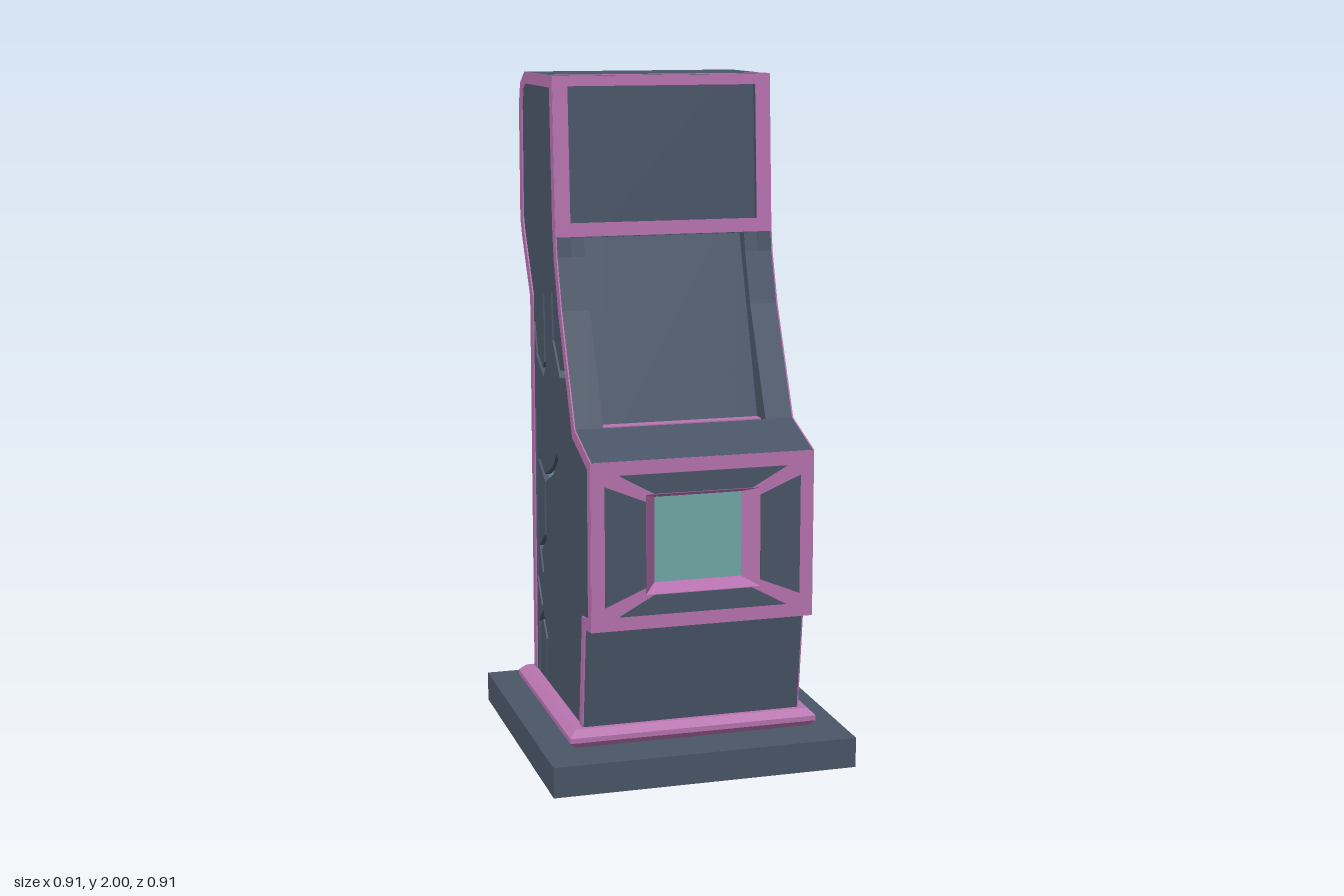
import * as THREE from 'three';

const mat = (color) => new THREE.MeshStandardMaterial({ color, flatShading: true, side: THREE.DoubleSide });
const slate = mat(0x4a5568), pink = mat(0xb873b0), teal = mat(0x70aaa8), red = mat(0x742743), dusk = mat(0x3a4058);

// Profile points are [z, y]
const lowFront = [[0.29, 0.1], [0.33, 0.45], [0.405, 0.46]];
const deskTop = [[0.405, 0.95], [0.225, 1.01]];
const cheekFront = [[0.075, 1.33], [0.025, 1.48], [0.012, 1.56]];
const headFront = [[0.012, 1.56], [-0.015, 2]];
const headBack = [[-0.37, 2], [-0.43, 1.965], [-0.45, 1.9], [-0.45, 1.55], [-0.43, 1.5], [-0.325, 1.32]];
const outline = [...lowFront, ...deskTop, ...cheekFront, [-0.015, 2], ...headBack, [-0.325, 0.1]];

// Shift a polyline sideways (to its left) with mitred corners
function offset(pts, d, closed) {
  const n = pts.length;
  const normal = (a, b) => {
    const dx = b[0] - a[0], dy = b[1] - a[1], l = Math.hypot(dx, dy);
    return [-dy / l, dx / l];
  };
  return pts.map((p, i) => {
    const prev = closed || i > 0 ? pts[(i + n - 1) % n] : null;
    const next = closed || i < n - 1 ? pts[(i + 1) % n] : null;
    const a = prev ? normal(prev, p) : normal(p, next);
    const b = next ? normal(p, next) : a;
    const k = d / (1 + a[0] * b[0] + a[1] * b[1]);
    return [p[0] + (a[0] + b[0]) * k, p[1] + (a[1] + b[1]) * k];
  });
}

const ribbon = (pts, w = 0.022) => [...offset(pts, w / 2), ...offset(pts, -w / 2).reverse()];

const rect = (x0, y0, x1, y1) => [[x0, y0], [x1, y0], [x1, y1], [x0, y1]];

function shapeOf(pts, holes = []) {
  const v = (list) => list.map(([a, b]) => new THREE.Vector2(a, b));
  const shape = new THREE.Shape(v(pts));
  holes.forEach((h) => shape.holes.push(new THREE.Path(v(h))));
  return shape;
}

export function createModel() {
  const model = new THREE.Group();

  const add = (name, geometry, material, x = 0, y = 0, z = 0) => {
    const mesh = new THREE.Mesh(geometry, material);
    mesh.name = name;
    mesh.position.set(x, y, z);
    model.add(mesh);
    return mesh;
  };
  const box = (name, w, h, d, material, x, y, z) => add(name, new THREE.BoxGeometry(w, h, d), material, x, y, z);
  // Profile in z/y stretched from x0 to x1
  const slab = (name, pts, x0, x1, material, holes) => {
    const g = new THREE.ExtrudeGeometry(shapeOf(pts, holes), { depth: x1 - x0, bevelEnabled: false });
    return add(name, g.rotateY(-Math.PI / 2), material, x1);
  };
  const mirrored = (name, pts, x0, x1, material, holes) => {
    slab(name + 'Left', pts, x0, x1, material, holes);
    slab(name + 'Right', pts, -x1, -x0, material, holes);
  };
  // Plate in x/y with its back at z
  const plate = (name, pts, z, depth, material, holes) =>
    add(name, new THREE.ExtrudeGeometry(shapeOf(pts, holes), { depth, bevelEnabled: false }), material, 0, 0, z);

  // Floor slab and bevelled plinth
  box('base', 0.91, 0.09, 0.91, slate, 0, 0.045, 0);
  const plinth = new THREE.ExtrudeGeometry(shapeOf(rect(-0.355, -0.31, 0.355, 0.335)), {
    depth: 0.015, bevelSize: 0.02, bevelThickness: 0.02, bevelSegments: 1,
  });
  add('plinth', plinth.rotateX(-Math.PI / 2), pink, 0, 0.11, 0);

  // Cabinet core: slices across x, with rear bays, sunken sign and screen
  const headInset = [[0.012, 1.535], [0.011, 1.575], [-0.009, 1.575], [-0.033, 1.97], [-0.013, 1.97], [-0.015, 2]];
  const rear = [...headBack, [-0.325, 1.29], [-0.26, 1.29], [-0.26, 1.06], [-0.325, 1.06],
    [-0.325, 0.99], [-0.26, 0.99], [-0.26, 0.17], [-0.325, 0.17], [-0.325, 0.1]];
  const screenFront = [[0.185, 1], [0.15, 1], [-0.03, 1.53]];
  const windowNotch = [[0.405, 0.56], [0.35, 0.56], [0.35, 0.85], [0.405, 0.85]];
  const cheek = [...lowFront, ...deskTop, ...cheekFront.slice(0, 2), ...headInset, ...rear];
  const screenCore = [...lowFront, ...deskTop, ...screenFront, ...headInset, ...rear];
  const windowCore = [...lowFront, ...windowNotch, ...deskTop, ...screenFront, ...headInset, ...rear];
  mirrored('cheek', cheek, 0.245, 0.285, slate);
  mirrored('innerBody', screenCore, 0.17, 0.245, slate);
  slab('centreBody', windowCore, -0.17, 0.17, slate);
  box('screenLedge', 0.49, 0.006, 0.036, pink, 0, 1.002, 0.167);

  // Side panels with cut cracks; "lit" is how many points have a glowing floor
  const cracks = [
    { path: [[0.11, 1.15], [0.04, 1.14], [-0.04, 1.23], [-0.055, 1.37]], lit: 4 },
    { path: [[-0.16, 1.35], [-0.15, 1.14], [-0.175, 1.11], [-0.25, 1.15], [-0.285, 1.25]], lit: 4 },
    { path: [[0, 0.885], [-0.06, 0.83], [-0.165, 0.785], [-0.255, 0.835]], lit: 4 },
    { path: [[-0.165, 0.766], [-0.165, 0.6], [-0.235, 0.55], [-0.2, 0.48]], lit: 4 },
    { path: [[-0.28, 0.98], [-0.275, 0.45], [-0.22, 0.37]], lit: 0 },
    { path: [[-0.175, 0.147], [-0.155, 0.28], [-0.21, 0.342], [-0.26, 0.3], [-0.26, 0.147]], lit: 5 },
  ];
  mirrored('sidePanel', outline, 0.285, 0.327, slate, cracks.map((c) => ribbon(c.path)));
  mirrored('sideTrim', outline, 0.327, 0.331, pink, [offset(outline, 0.035, true)]);
  cracks.filter((c) => c.lit).forEach((c, i) =>
    mirrored('crackGlow' + (i + 1), ribbon(c.path.slice(0, c.lit)), 0.287, 0.31, teal));

  // Sign frame on the head, tilted with its front, and the strip above
  const signFrame = plate('signFrame', rect(-0.33, 0, 0.33, 0.463), 0.01, 0.006, pink,
    [rect(-0.285, 0.04, 0.285, 0.433)]);
  signFrame.position.y = 1.537;
  signFrame.rotation.x = -Math.atan2(0.027, 0.44);
  box('topTrim', 0.66, 0.004, 0.045, pink, 0, 1.999, -0.038);

  // Front box: frame, corner ribs and four dark panels around the window
  plate('frontFrame', rect(-0.33, 0.46, 0.33, 0.95), 0.403, 0.004, pink, [rect(-0.17, 0.56, 0.17, 0.85)]);
  for (const s of [-1, 1]) {
    plate('sideInset', [[0.29 * s, 0.53], [0.17 * s, 0.58], [0.17 * s, 0.83], [0.29 * s, 0.88]], 0.405, 0.004, slate);
    const y = (v) => 0.705 + s * v;
    plate('edgeInset', [[-0.25, y(0.205)], [0.25, y(0.205)], [0.145, y(0.147)], [-0.145, y(0.147)]], 0.405, 0.004, slate);
  }

  // Sloped window reveal and glowing pane
  const outer = rect(-0.17, 0.56, 0.17, 0.85), inner = rect(-0.13, 0.58, 0.13, 0.83);
  const verts = [], index = [];
  for (let i = 0; i < 4; i++) {
    verts.push(...outer[i], 0.407, ...inner[i], 0.353);
    const a = i * 2, b = ((i + 1) % 4) * 2;
    index.push(a, b, b + 1, a, b + 1, a + 1);
  }
  const reveal = new THREE.BufferGeometry();
  reveal.setAttribute('position', new THREE.Float32BufferAttribute(verts, 3));
  reveal.setIndex(index);
  reveal.computeVertexNormals();
  add('windowReveal', reveal, pink);
  box('windowPane', 0.26, 0.25, 0.006, teal, 0, 0.705, 0.351);

  // Rear doors with cross strips
  box('upperDoor', 0.57, 0.23, 0.006, red, 0, 1.175, -0.261);
  box('lowerDoor', 0.57, 0.82, 0.006, red, 0, 0.58, -0.261);
  for (const y of [0.475, 0.935]) box('doorStrip', 0.49, 0.05, 0.006, pink, 0, y, -0.264);

  // Rear head panel
  plate('rearFrame', rect(-0.245, 1.58, 0.245, 1.88), -0.454, 0.006, pink, [rect(-0.21, 1.615, 0.21, 1.845)]);
  box('rearPanel', 0.42, 0.23, 0.004, dusk, 0, 1.73, -0.45);

  return model;
}
